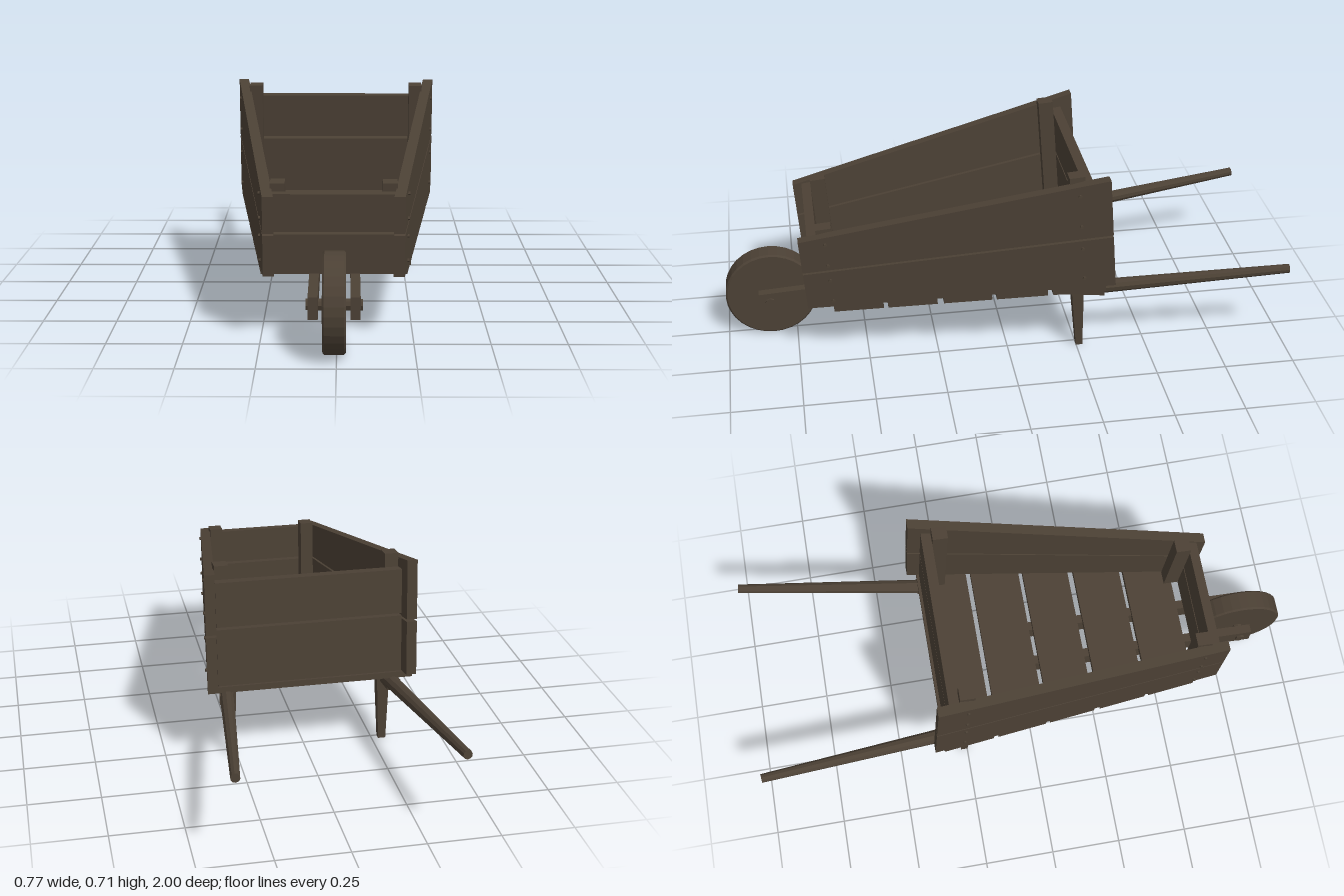
import * as THREE from 'three';

const wood = new THREE.MeshStandardMaterial({ color: 0x4c4135, flatShading: true });
wood.name = 'dark weathered wood';

export function createModel() {
  const root = new THREE.Group();
  root.name = 'wheelbarrow';

  const add = (parent, name, geo, x = 0, y = 0, z = 0) => {
    const m = new THREE.Mesh(geo, wood);
    m.name = name;
    m.position.set(x, y, z);
    parent.add(m);
    return m;
  };
  const box = (parent, name, x0, x1, y0, y1, z0, z1) =>
    add(parent, name, new THREE.BoxGeometry(x1 - x0, y1 - y0, z1 - z0),
      (x0 + x1) / 2, (y0 + y1) / 2, (z0 + z1) / 2);
  // straight tapered rod between two points
  const rod = (parent, name, a, b, ra, rb, sides) => {
    const A = new THREE.Vector3(...a), B = new THREE.Vector3(...b);
    const d = B.clone().sub(A);
    const m = add(parent, name, new THREE.CylinderGeometry(rb, ra, d.length(), sides));
    m.position.copy(A).add(B).multiplyScalar(0.5);
    m.quaternion.setFromUnitVectors(new THREE.Vector3(0, 1, 0), d.normalize());
    return m;
  };
  // eight-cornered solid: for each of two z ends [z, xMin, xMax, yMin, yMax]
  const taper = (parent, name, back, front) => {
    const g = new THREE.BoxGeometry(1, 1, 1);
    const p = g.attributes.position;
    for (let i = 0; i < p.count; i++) {
      const e = p.getZ(i) < 0 ? back : front;
      p.setXYZ(i, p.getX(i) < 0 ? e[1] : e[2], p.getY(i) < 0 ? e[3] : e[4], e[0]);
    }
    g.computeVertexNormals();
    return add(parent, name, g);
  };

  // Tray, tilted up toward the handles; local y = 0 is the bed's top
  const tray = new THREE.Group();
  tray.name = 'tray';
  tray.position.set(-0.01, 0.267, 0);
  tray.rotation.x = 0.074;
  root.add(tray);

  const zB = -0.37, zF = 0.71;
  const outer = z => 0.23 + (0.14 * (zF - z)) / (zF - zB);

  // Bed planks
  for (const [z0, z1] of [[-0.335, -0.15], [-0.132, 0.048], [0.064, 0.234], [0.256, 0.43], [0.445, 0.62]])
    taper(tray, 'bedPlank', [z0, -outer(z0), outer(z0), -0.022, 0], [z1, -outer(z1), outer(z1), -0.022, 0]);

  // Side planks, corner posts and peg heads
  for (const s of [-1, 1]) {
    const span = z => {
      const a = s * outer(z), b = s * (outer(z) - 0.036);
      return [Math.min(a, b), Math.max(a, b)];
    };
    taper(tray, 'lowerSidePlank', [zB, ...span(zB), 0, 0.197], [zF, ...span(zF), 0, 0.139]);
    taper(tray, 'upperSidePlank', [zB, ...span(zB), 0.205, 0.42], [zF, ...span(zF), 0.146, 0.27]);
    for (const [name, x, z, top, pegs] of [
      ['rearPost', 0.299, -0.262, 0.424, [0.04, 0.16, 0.25, 0.37]],
      ['frontPost', 0.183, 0.618, 0.296, [0.025, 0.11, 0.17, 0.255]]]) {
      box(tray, name, s * x - 0.024, s * x + 0.024, 0, top, z - 0.027, z + 0.027);
      for (const y of pegs)
        rod(tray, 'pegHead', [s * (outer(z) - 0.01), y, z], [s * (outer(z) + 0.006), y, z], 0.007, 0.006, 6);
    }
  }

  // End boards
  box(tray, 'lowerBackBoard', -0.327, 0.327, 0, 0.206, -0.325, -0.289);
  box(tray, 'upperBackBoard', -0.327, 0.327, 0.215, 0.375, -0.325, -0.289);
  box(tray, 'lowerFrontBoard', -0.202, 0.202, 0, 0.133, 0.645, 0.678);
  box(tray, 'upperFrontBoard', -0.202, 0.202, 0.142, 0.269, 0.645, 0.678);

  // Two beams carrying the axle
  for (const x of [-0.075, 0.06])
    taper(root, 'beam', [-0.09, x - 0.016, x + 0.016, 0.181, 0.252], [0.88, x - 0.016, x + 0.016, 0.121, 0.195]);

  // Wheel and axle
  const wheelShape = [[0, -0.037], [0.159, -0.037], [0.165, -0.031], [0.165, 0.031], [0.159, 0.037], [0, 0.037]]
    .map(([r, y]) => new THREE.Vector2(r, y));
  add(root, 'wheel', new THREE.LatheGeometry(wheelShape, 32), -0.0075, 0.165, 0.835).rotation.z = -Math.PI / 2;
  rod(root, 'axle', [-0.098, 0.16, 0.84], [0.083, 0.16, 0.84], 0.019, 0.019, 8);

  // Handles with flattened roots under the bed, and legs
  for (const s of [-1, 1]) {
    const near = -0.0085 + s * 0.292, far = s * 0.371;
    const tip = near - s * 0.016, end = near + s * 0.008;
    taper(root, 'handleRoot', [-0.34, end - 0.024, end + 0.024, 0.226, 0.262],
      [-0.16, tip - 0.02, tip + 0.02, 0.232, 0.255]);
    rod(root, 'handle', [near, 0.246, -0.29], [far, 0.311, -0.999], 0.026, 0.016, 10);

    const lx = -0.0095 + s * 0.2775;
    const leg = new THREE.BoxGeometry(1, 1, 1);
    const p = leg.attributes.position;
    for (let i = 0; i < p.count; i++) {
      const up = p.getY(i) > 0, w = up ? 0.046 : 0.027;
      p.setXYZ(i, lx + p.getX(i) * w, up ? 0.265 : 0, (up ? -0.247 : -0.261) + p.getZ(i) * (up ? 0.046 : 0.024));
    }
    leg.computeVertexNormals();
    add(root, 'leg', leg);
  }
  return root;
}
